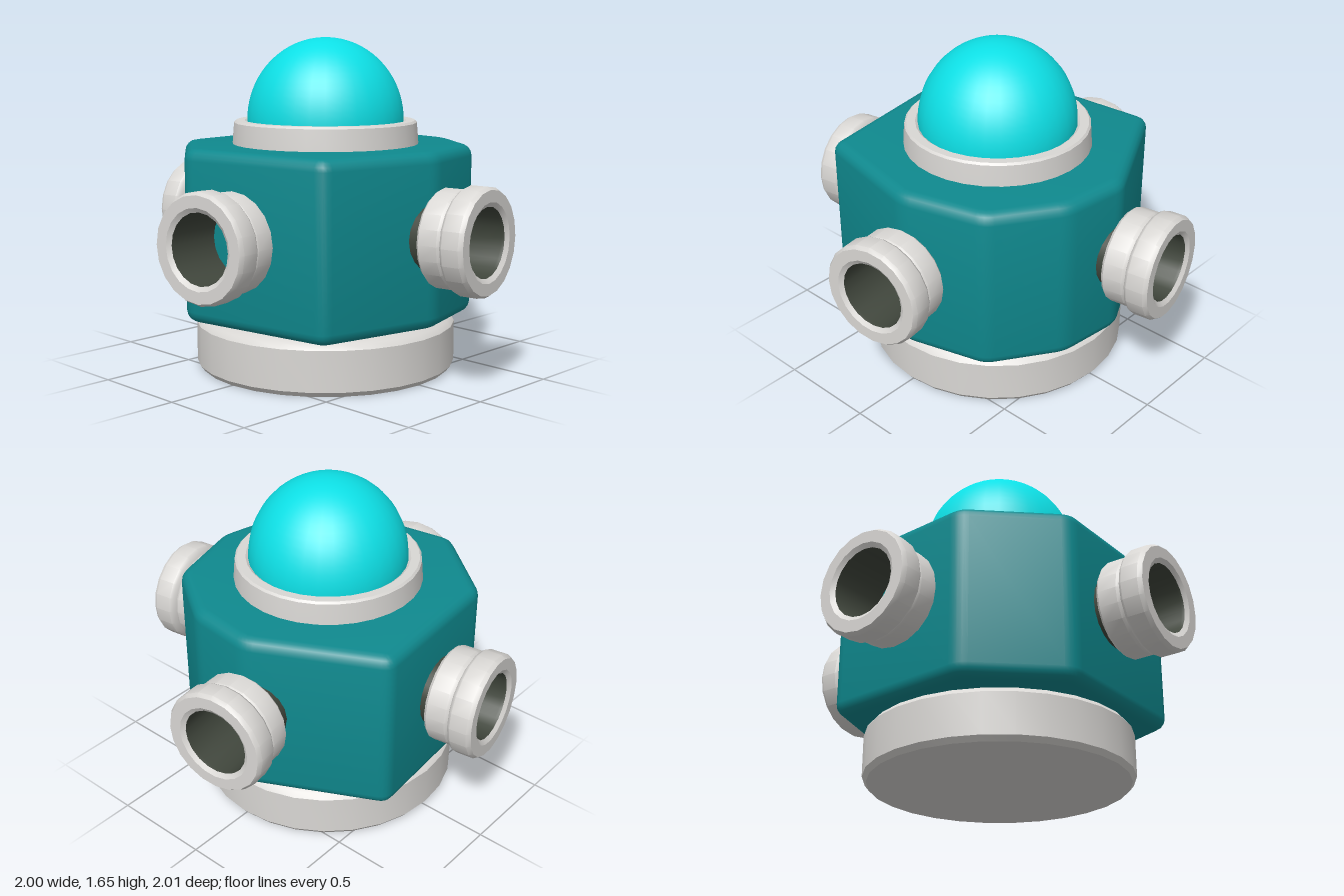
import * as THREE from 'three';
import { toCreasedNormals } from 'three/addons/utils/BufferGeometryUtils.js';

const material = (name, color) => {
  const m = new THREE.MeshStandardMaterial({ color });
  m.name = name;
  return m;
};

// Revolve a closed or open [radius, height] profile, keeping sharp edges
const lathe = (profile, segments) => toCreasedNormals(
  new THREE.LatheGeometry(profile.map(([r, y]) => new THREE.Vector2(r, y)), segments), 0.6);

// Polygon with slightly rounded corners
function roundedPolygon(corners, cut) {
  const pts = corners.map(([x, z]) => new THREE.Vector2(x, -z));
  const shape = new THREE.Shape();
  pts.forEach((p, i) => {
    const prev = pts[(i + pts.length - 1) % pts.length];
    const next = pts[(i + 1) % pts.length];
    const a = p.clone().add(prev.clone().sub(p).setLength(cut));
    const b = p.clone().add(next.clone().sub(p).setLength(cut));
    if (i === 0) shape.moveTo(a.x, a.y); else shape.lineTo(a.x, a.y);
    shape.quadraticCurveTo(p.x, p.y, b.x, b.y);
  });
  shape.closePath();
  return shape;
}

export function createModel() {
  const grey = material('light grey', 0xd9d7d4);
  const teal = material('dark teal', 0x0f898e);
  const cyan = material('bright cyan', 0x0de0e6);
  const dark = material('dark lining', 0x40463c);

  const model = new THREE.Group();
  model.name = 'domedPod';
  const add = (parent, name, geometry, mat) => {
    const mesh = new THREE.Mesh(geometry, mat);
    mesh.name = name;
    parent.add(mesh);
    return mesh;
  };

  // Round foot
  add(model, 'base', lathe([
    [0, 0], [0.635, 0], [0.655, 0.025], [0.655, 0.225], [0.635, 0.25], [0.58, 0.27], [0, 0.285],
  ], 28), grey);

  // Irregular eight-sided body with softened edges
  const corners = [
    [-0.09, -0.715], [0.25, -0.675], [0.585, -0.45], [0.705, -0.03],
    [0.57, 0.59], [-0.235, 0.715], [-0.645, 0.38], [-0.71, -0.395],
  ];
  const bevel = 0.055;
  const body = new THREE.ExtrudeGeometry(roundedPolygon(corners, 0.05), {
    depth: 0.845 - 2 * bevel, curveSegments: 4,
    bevelEnabled: true, bevelThickness: bevel, bevelSize: bevel, bevelOffset: -bevel, bevelSegments: 4,
  });
  body.rotateX(-Math.PI / 2).translate(0, 0.28 + bevel, 0);
  add(model, 'body', toCreasedNormals(body, 0.6), teal);

  // Collar and dome
  add(model, 'collar', lathe([
    [0.468, 1.1], [0.465, 1.15], [0.458, 1.23], [0.448, 1.24], [0.405, 1.24], [0.38, 1.22], [0.38, 1.12],
  ], 32), grey);
  const dome = add(model, 'dome', new THREE.SphereGeometry(0.392, 32, 18, 0, Math.PI * 2, 0, Math.PI * 0.54), cyan);
  dome.scale.y = 1.05;
  dome.position.y = 1.238;

  // Portholes: stepped hollow rings on a dark pipe; z = 0 lies at the groove
  const ring = lathe([
    [0.172, -0.125], [0.225, -0.125], [0.238, -0.11], [0.238, -0.015], [0.228, 0],
    [0.25, 0.01], [0.26, 0.025], [0.26, 0.11], [0.247, 0.13],
    [0.19, 0.13], [0.168, 0.115],
  ], 20).rotateX(Math.PI / 2);
  const pipe = lathe([
    [0.178, -0.22], [0.178, -0.1], [0.168, 0.115], [0.165, 0.1], [0.165, -0.22],
  ], 20).rotateX(Math.PI / 2);
  const turn = 0.146;
  [
    ['frontPorthole', 0.13, 0.83, 0],
    ['leftPorthole', 0.838, -0.075, 1],
    ['backPorthole', -0.13, -0.848, 2],
    ['rightPorthole', -0.832, 0.065, 3],
  ].forEach(([name, x, z, quarter]) => {
    const porthole = new THREE.Group();
    porthole.name = name;
    porthole.position.set(x, 0.722, z);
    porthole.rotation.y = turn + quarter * Math.PI / 2;
    add(porthole, 'ring', ring, grey);
    add(porthole, 'pipeLining', pipe, dark);
    model.add(porthole);
  });

  return model;
}
